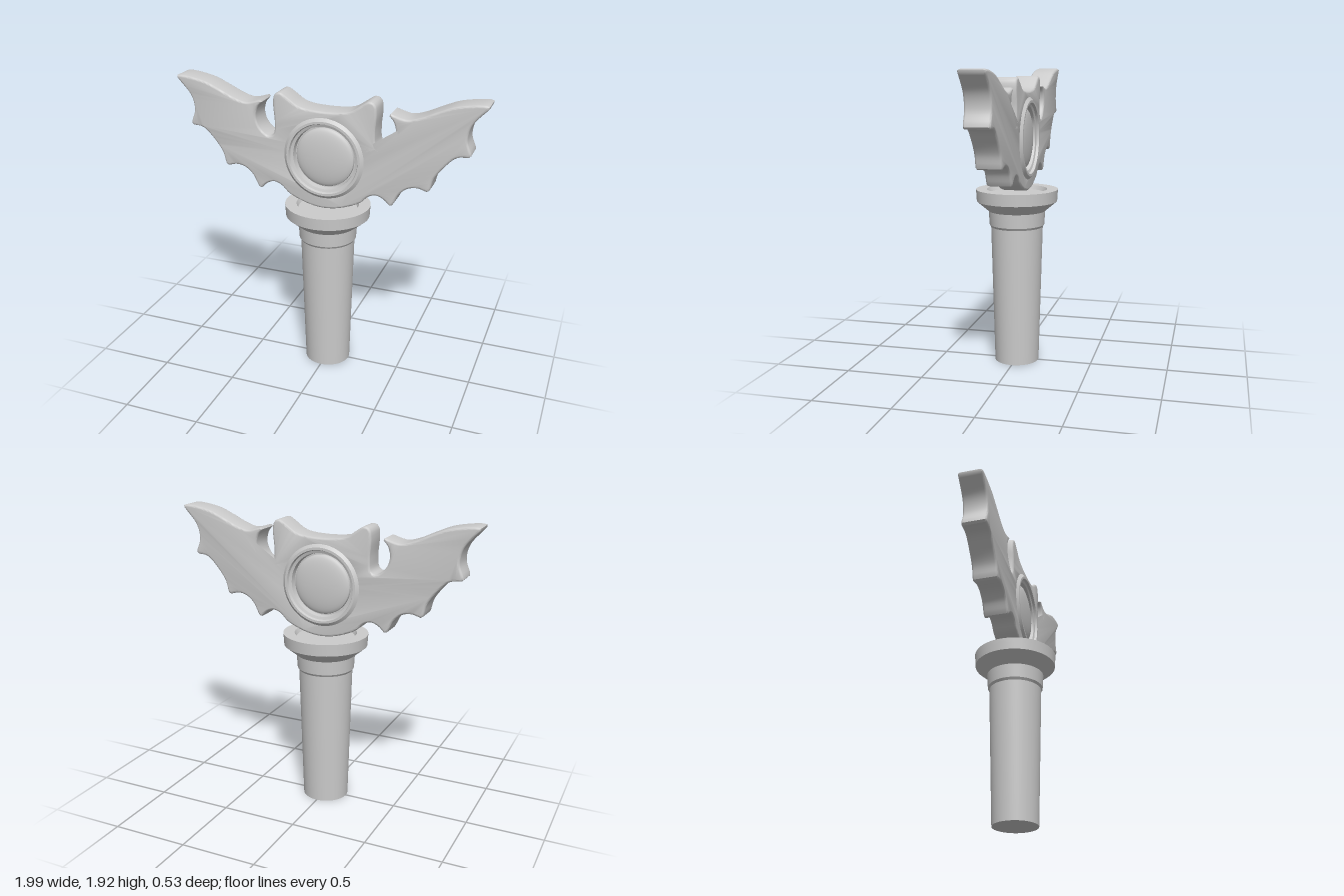
import * as THREE from 'three';
import { toCreasedNormals } from 'three/addons/utils/BufferGeometryUtils.js';

const material = new THREE.MeshStandardMaterial({ color: 0xcccccc });

function addMesh(group, name, geometry, crease = 0.5) {
  const mesh = new THREE.Mesh(toCreasedNormals(geometry, crease), material);
  mesh.name = name;
  group.add(mesh);
  return mesh;
}

const lathe = (points, segments = 72) =>
  new THREE.LatheGeometry(points.map(([r, y]) => new THREE.Vector2(r, y)), segments);

// Smooth runs of the left half outline, meeting at sharp corners, bottom to top
const RUNS = [
  [[0, 1.145], [0.06, 1.15], [0.14, 1.17], [0.24, 1.215], [0.29, 1.262], [0.34, 1.28], [0.39, 1.262], [0.43, 1.225]],
  [[0.43, 1.225], [0.445, 1.228], [0.49, 1.31], [0.54, 1.352], [0.6, 1.365], [0.66, 1.35]],
  [[0.66, 1.35], [0.675, 1.358], [0.70, 1.44], [0.77, 1.535], [0.83, 1.588], [0.90, 1.598]],
  [[0.90, 1.598], [0.912, 1.612], [0.885, 1.70], [0.903, 1.79], [0.995, 1.9]],
  [[0.995, 1.9], [1.0, 1.912], [0.98, 1.92], [0.81, 1.897], [0.7, 1.853], [0.6, 1.808], [0.52, 1.788], [0.42, 1.812]],
  [[0.42, 1.812], [0.41, 1.803], [0.44, 1.765], [0.455, 1.70], [0.43, 1.63], [0.37, 1.585], [0.337, 1.6], [0.327, 1.68],
    [0.335, 1.8], [0.325, 1.855], [0.29, 1.873], [0.24, 1.845], [0.17, 1.8], [0.1, 1.785], [0, 1.78]],
];

function batShape() {
  const half = [];
  for (const run of RUNS) {
    const curve = new THREE.CatmullRomCurve3(run.map(([x, y]) => new THREE.Vector3(x, y, 0)));
    const count = Math.ceil(curve.getLength() / 0.018);
    for (let i = 0; i < count; i++) {
      const p = curve.getSpacedPoints(count)[i];
      half.push(new THREE.Vector2(p.x, p.y));
    }
  }
  half.push(new THREE.Vector2(0, 1.78));
  const mirrored = half.slice(1, -1).reverse().map((p) => new THREE.Vector2(-p.x, p.y));
  return new THREE.Shape([...half, ...mirrored]);
}

export function createModel() {
  const model = new THREE.Group();
  model.name = 'batToppedHandle';

  // Tapered grip, collar, flared cup and shallow recess in one turned profile
  const handle = addMesh(model, 'handle', lathe([
    [0, 0], [0.151, 0], [0.176, 0.905], [0.186, 0.92], [0.192, 1.01],
    [0.272, 1.075], [0.277, 1.152], [0.203, 1.152], [0.19, 1.125], [0, 1.125],
  ]), 0.3);
  handle.scale.z = 0.96;

  // Bat silhouette with softened edges and an opening for the medallion
  const centreY = 1.48;
  const shape = batShape();
  shape.holes.push(new THREE.Path().absarc(0, centreY, 0.225, 0, Math.PI * 2, true));
  const bevel = 0.014;
  const body = new THREE.ExtrudeGeometry(shape, {
    depth: 0.16 - 2 * bevel, curveSegments: 48,
    bevelEnabled: true, bevelThickness: bevel, bevelSize: bevel, bevelOffset: -bevel, bevelSegments: 3,
  });
  body.translate(0, 0, -0.08 + bevel);
  addMesh(model, 'batBody', body, 0.65);

  // Raised rim, sunken groove and domed centre, the same on both faces
  const face = [[0.265, 0.078], [0.243, 0.096], [0.228, 0.096], [0.222, 0.08], [0.205, 0.074], [0.2, 0.04], [0.19, 0.04]];
  for (let i = 0; i <= 10; i++) {
    const a = (i / 10) * Math.PI / 2;
    face.push([0.19 * Math.cos(a), 0.052 + 0.034 * Math.sin(a)]);
  }
  face[face.length - 1][0] = 0;
  const back = face.map(([r, z]) => [r, -z]).reverse();
  const medallion = addMesh(model, 'medallion', lathe([...back, ...face]));
  medallion.rotation.x = Math.PI / 2;
  medallion.position.y = centreY;

  return model;
}
